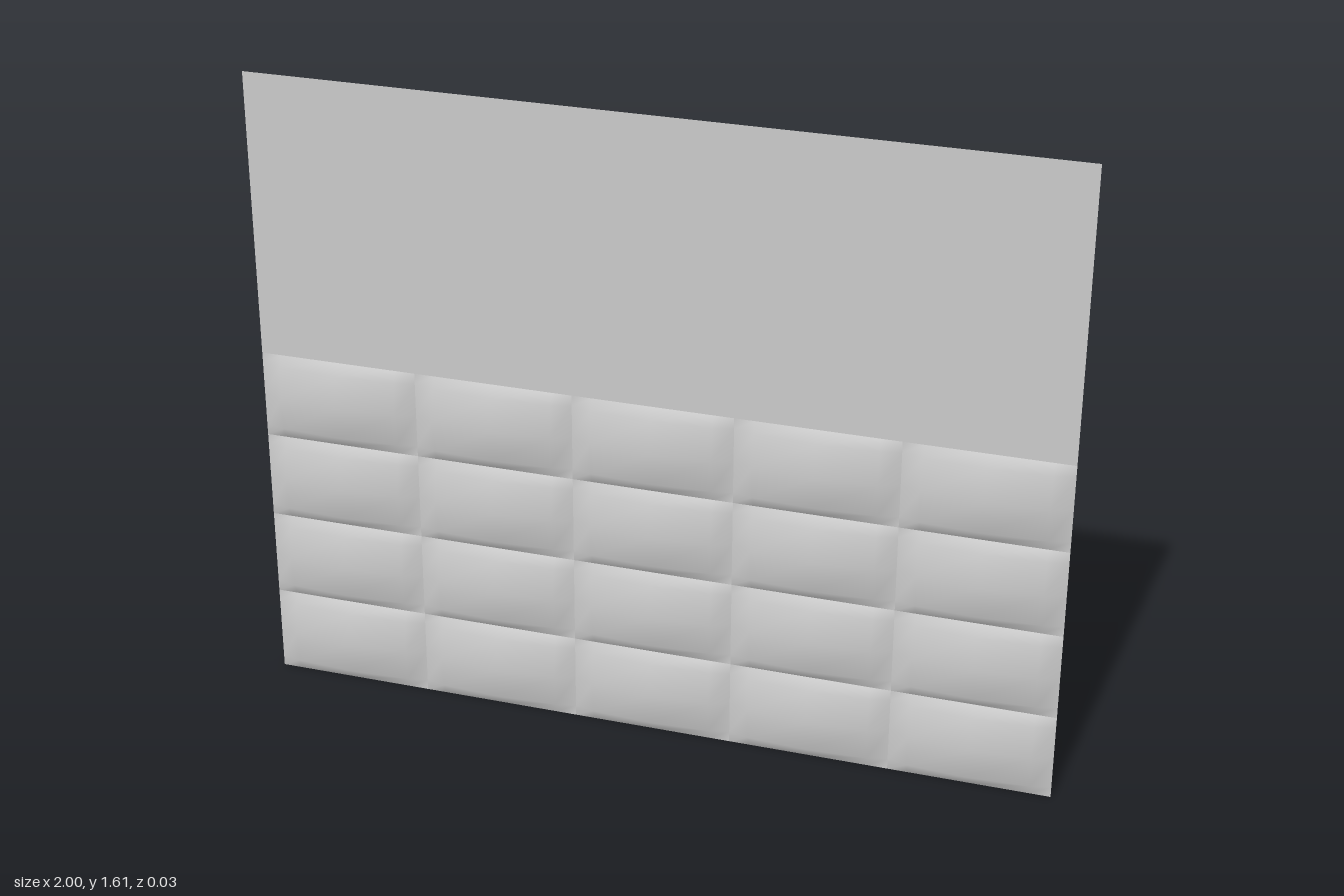
import * as THREE from 'three';

const COLS = 5, ROWS = 4, PAD_W = 0.4, PAD_H = 0.2225;
const TOP = 1.61, BACK = -0.017, BULGE = 0.034;

export function createModel() {
  const group = new THREE.Group();
  const material = new THREE.MeshStandardMaterial({ color: 0xcccccc, side: THREE.DoubleSide });

  // Cushion shell: seams lie flat at the back, the middle bulges forward
  const xs = [-0.2, -0.15, 0, 0.15, 0.2];
  const ys = [0.5, 0.375, 0, -0.375, -0.5].map(t => t * PAD_H);
  const height = [0, 0.6, 1, 0.6, 0];
  const padGeometry = new THREE.PlaneGeometry(PAD_W, PAD_H, 4, 4);
  const pos = padGeometry.attributes.position;
  for (let i = 0; i < pos.count; i++) {
    const c = i % 5, r = Math.floor(i / 5);
    pos.setXYZ(i, xs[c], ys[r], BACK + BULGE * height[c] * height[r]);
  }
  padGeometry.computeVertexNormals();

  // Grid of open-backed cushions
  const padding = new THREE.Group();
  padding.name = 'padding';
  for (let r = 0; r < ROWS; r++) {
    for (let c = 0; c < COLS; c++) {
      const pad = new THREE.Mesh(padGeometry, material);
      pad.name = `pad_${r + 1}_${c + 1}`;
      pad.position.set((c - (COLS - 1) / 2) * PAD_W, (r + 0.5) * PAD_H, 0);
      padding.add(pad);
    }
  }
  group.add(padding);

  // Flat wall above the cushions
  const padTop = ROWS * PAD_H;
  const wall = new THREE.Mesh(new THREE.PlaneGeometry(COLS * PAD_W, TOP - padTop), material);
  wall.name = 'upperWall';
  wall.position.set(0, (TOP + padTop) / 2, BACK);
  group.add(wall);

  return group;
}
